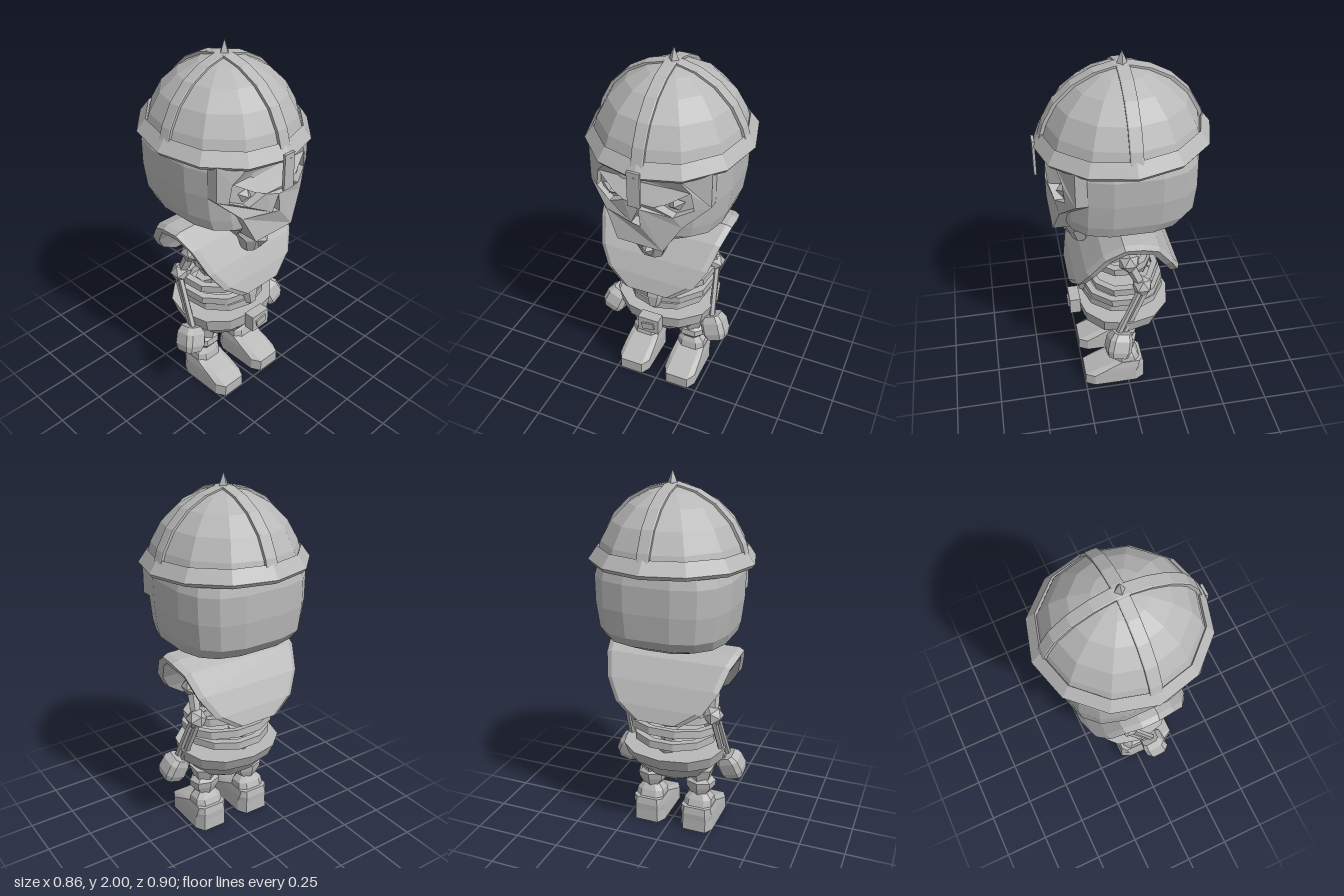
import * as THREE from 'three';

const bone = new THREE.MeshStandardMaterial({ color: 0xb8b8b8, flatShading: true, side: THREE.DoubleSide });
bone.name = 'plain grey';

const V = (x, y, z) => new THREE.Vector3(x, y, z);

function add(parent, name, geometry, pos = [0, 0, 0], rot = [0, 0, 0], scale = [1, 1, 1]) {
  const m = new THREE.Mesh(geometry, bone);
  m.name = name;
  m.position.set(...pos);
  m.rotation.set(...rot);
  m.scale.set(...scale);
  parent.add(m);
  return m;
}

// Skin closed cross-sections into a capped solid
function loft(rings) {
  const n = rings[0].length, p = [], idx = [];
  rings.forEach(r => r.forEach(v => p.push(v.x, v.y, v.z)));
  for (let i = 0; i < rings.length - 1; i++)
    for (let j = 0; j < n; j++) {
      const a = i * n + j, b = i * n + (j + 1) % n;
      idx.push(a, b, b + n, a, b + n, a + n);
    }
  const last = (rings.length - 1) * n;
  for (let j = 1; j < n - 1; j++) idx.push(0, j + 1, j, last, last + j, last + j + 1);
  const g = new THREE.BufferGeometry();
  g.setAttribute('position', new THREE.Float32BufferAttribute(p, 3));
  g.setIndex(idx);
  g.computeVertexNormals();
  return g;
}

// Rows of [y, half width, front z, back z] become rounded-box rings
function stack(rows, n = 8, power = 3, turn = 0.5) {
  return loft(rows.map(([y, rx, zf, zb]) => Array.from({ length: n }, (_, i) => {
    const a = (i + turn) / n * Math.PI * 2, s = Math.sin(a), c = Math.cos(a), e = 2 / power;
    return V(Math.sign(s) * Math.abs(s) ** e * rx, y,
      (zf + zb) / 2 + Math.sign(c) * Math.abs(c) ** e * (zf - zb) / 2);
  })));
}

// Thick sheet bent along a path of [z, y, half width], with bevelled long edges
function sheet(path, thick, bevel) {
  return loft(path.map(([z, y, w], i) => {
    const a = path[Math.max(0, i - 1)], b = path[Math.min(path.length - 1, i + 1)];
    const l = Math.hypot(b[0] - a[0], b[1] - a[1]);
    const nz = (b[1] - a[1]) / l, ny = -(b[0] - a[0]) / l;
    const at = (x, d) => V(x, y + ny * d, z + nz * d);
    return [at(-w, -bevel), at(-w + bevel * 2, 0), at(w - bevel * 2, 0), at(w, -bevel),
      at(w - bevel, -thick), at(-w + bevel, -thick)];
  }));
}

// Flat band running round the body
function band(rx, rz, h, thick, sides = 10) {
  const pts = [[1, -1], [1, 1], [0, 1], [0, -1], [1, -1]]
    .map(([o, y]) => new THREE.Vector2(rx - (1 - o) * thick, y * h / 2));
  return new THREE.LatheGeometry(pts, sides).scale(1, 1, rz / rx);
}

// Tapered bone between two points
function limb(parent, name, from, to, r1, r2, sides = 5) {
  const a = V(...from), b = V(...to), d = b.clone().sub(a);
  const m = add(parent, name, new THREE.CylinderGeometry(r2, r1, d.length(), sides));
  m.position.copy(a).addScaledVector(d, 0.5);
  m.quaternion.setFromUnitVectors(V(0, 1, 0), d.normalize());
}

const poly = pts => pts.map(p => new THREE.Vector2(...p));

function buildHead() {
  const g = new THREE.Group();
  g.name = 'head';
  add(g, 'skull', stack([[1.11, 0.2, 0.3, -0.2], [1.165, 0.325, 0.33, -0.31], [1.225, 0.345, 0.335, -0.36],
    [1.36, 0.362, 0.335, -0.372], [1.5, 0.365, 0.335, -0.37], [1.62, 0.33, 0.32, -0.34]], 16, 3));

  // Face plate with angry sockets and a nose hole, curved back at the sides
  const face = new THREE.Shape(poly([[-0.32, 1.55], [-0.32, 1.36], [-0.21, 1.25], [-0.14, 1.1], [0.11, 1.1],
    [0.2, 1.25], [0.32, 1.36], [0.32, 1.55], [0.16, 1.55], [-0.16, 1.55]]));
  const socket = [[0.07, 1.36], [0.13, 1.385], [0.235, 1.45], [0.25, 1.35], [0.16, 1.31]];
  face.holes.push(new THREE.Path(poly(socket)),
    new THREE.Path(poly(socket.map(([x, y]) => [-x - 0.02, y]))),
    new THREE.Path(poly([[-0.05, 1.24], [-0.01, 1.33], [0, 1.23]])));
  const plate = new THREE.ExtrudeGeometry(face, { depth: 0.1, bevelEnabled: false });
  const p = plate.attributes.position;
  for (let i = 0; i < p.count; i++) p.setZ(i, p.getZ(i) - 1.1 * p.getX(i) ** 2);
  plate.computeVertexNormals();
  add(g, 'face', plate, [0, 0, 0.293]);
  for (const s of [-1, 1])
    add(g, 'eye', new THREE.OctahedronGeometry(0.045), [s * 0.17 - 0.01, 1.365, 0.325], [0, 0, s * 0.5], [1.2, 0.8, 0.7]);
  add(g, 'jaw', stack([[0.945, 0.06, 0.27, 0.18], [1.03, 0.095, 0.305, 0.17], [1.09, 0.14, 0.29, 0.12],
    [1.14, 0.15, 0.36, 0.08]], 8, 2.6), [-0.015, 0, 0]);
  add(g, 'chin', new THREE.OctahedronGeometry(0.06), [-0.01, 1.02, 0.275], [0, 0, 0], [1, 1.1, 0.9]);
  return g;
}

function buildHelmet() {
  const g = new THREE.Group();
  g.name = 'helmet';
  const dome = [[1.56, 0.395, 0.41], [1.66, 0.365, 0.38], [1.76, 0.31, 0.325], [1.845, 0.225, 0.235],
    [1.9, 0.125, 0.13], [1.925, 0.03, 0.03]];
  add(g, 'dome', stack(dome.map(([y, rx, rz]) => [y, rx, rz, -rz]), 12, 2, 0));
  const brim = poly([[0.35, -0.025], [0.415, -0.015], [0.43, 0.005], [0.385, 0.07], [0.35, -0.025]]);
  add(g, 'brim', new THREE.LatheGeometry(brim, 12), [0, 1.556, 0], [0.04, 0, 0], [1, 1, 1.045]);

  // Crossed ridges over the dome
  const arch = (k, lift) => {
    const half = dome.map(d => [d[k] + lift, d[0] + lift, 0.032]);
    return [...half, ...half.slice().reverse().map(([z, y, w]) => [-z, y, w])];
  };
  add(g, 'lengthRidge', sheet(arch(2, 0.01), 0.035, 0.003));
  add(g, 'crossRidge', sheet(arch(1, 0.008), 0.035, 0.003), [0, 0, 0], [0, Math.PI / 2, 0]);
  for (const s of [-1, 1])
    add(g, 'ridgeEnd', new THREE.ConeGeometry(0.03, 0.08, 4), [s * 0.39, 1.575, 0], [0, 0, -s * 1.9]);
  add(g, 'noseGuard', new THREE.BoxGeometry(0.066, 0.19, 0.014), [-0.005, 1.475, 0.44]);
  add(g, 'spike', new THREE.ConeGeometry(0.034, 0.085, 4), [0.005, 1.9575, 0]);
  return g;
}

function buildBody() {
  const g = new THREE.Group();
  g.name = 'body';
  g.position.x = -0.015;

  // Shoulder cape draped front and back
  add(g, 'cape', sheet([[0.312, 0.73, 0.14], [0.285, 0.81, 0.245], [0.235, 0.91, 0.305], [0.15, 1.03, 0.34],
    [0.05, 1.1, 0.365], [-0.05, 1.095, 0.365], [-0.14, 1.055, 0.345], [-0.22, 0.94, 0.31],
    [-0.275, 0.83, 0.24], [-0.3, 0.755, 0.13]], 0.052, 0.015));

  // Spine and neck
  for (let i = 0; i < 8; i++)
    add(g, 'vertebra', new THREE.CylinderGeometry(0.06, 0.04, 0.05, 6), [0, 0.53 + i * 0.075, -0.13 + i * 0.014], [0, i, 0.1]);

  // Rib cage
  for (const [y, rx, rz, tilt] of [[0.785, 0.18, 0.16, 0.1], [0.705, 0.255, 0.2, 0.12], [0.635, 0.26, 0.225, 0.1], [0.575, 0.235, 0.23, 0.03]])
    add(g, 'rib', band(rx, rz, 0.042, 0.04, 11), [0, y, 0], [tilt, 0, 0]);
  add(g, 'breastbone', stack([[0.57, 0.03, 0.25, 0.19], [0.64, 0.05, 0.25, 0.18], [0.72, 0.055, 0.22, 0.15],
    [0.81, 0.03, 0.19, 0.13]], 6, 2.5));

  // Hips, belt and buckle
  add(g, 'hips', stack([[0.31, 0.1, 0.09, -0.09], [0.355, 0.19, 0.18, -0.15], [0.44, 0.255, 0.245, -0.215],
    [0.5, 0.25, 0.24, -0.22]], 10, 2.2));
  add(g, 'belt', stack([[0.44, 0.272, 0.25, -0.225], [0.515, 0.29, 0.262, -0.262]], 12, 2.2, 0));
  add(g, 'buckle', new THREE.BoxGeometry(0.12, 0.095, 0.06), [0, 0.478, 0.275]);
  add(g, 'bucklePin', new THREE.BoxGeometry(0.07, 0.04, 0.014), [0, 0.478, 0.307], [0, 0, 0.2]);

  for (const s of [-1, 1]) {
    // Arm and fist
    const arm = new THREE.Group();
    arm.name = s > 0 ? 'leftArm' : 'rightArm';
    g.add(arm);
    limb(arm, 'collarBone', [s * 0.03, 0.9, -0.03], [s * 0.2, 0.9, 0], 0.025, 0.03);
    add(arm, 'shoulder', new THREE.IcosahedronGeometry(0.06), [s * 0.22, 0.895, 0]);
    limb(arm, 'upperArm', [s * 0.22, 0.89, 0], [s * 0.24, 0.73, -0.07], 0.032, 0.026);
    add(arm, 'elbow', new THREE.IcosahedronGeometry(0.058), [s * 0.24, 0.735, -0.07]);
    limb(arm, 'innerForearm', [s * 0.25, 0.71, -0.09], [s * 0.27, 0.44, 0.03], 0.018, 0.018);
    limb(arm, 'outerForearm', [s * 0.26, 0.71, -0.05], [s * 0.285, 0.44, 0.07], 0.016, 0.018);
    add(arm, 'fist', stack([[-0.07, 0.055, 0.06, -0.055], [-0.03, 0.07, 0.075, -0.065], [0.035, 0.068, 0.072, -0.062],
      [0.07, 0.045, 0.05, -0.05]], 8, 4), [s * 0.305, 0.387, 0.065], [-0.25, 0, s * 0.35]);

    // Leg and boot
    const leg = new THREE.Group();
    leg.name = s > 0 ? 'leftLeg' : 'rightLeg';
    leg.position.x = s * 0.145;
    g.add(leg);
    limb(leg, 'thigh', [0, 0.26, 0.015], [0, 0.37, 0.01], 0.05, 0.085, 6);
    add(leg, 'knee', stack([[0.205, 0.05, 0.05, -0.04], [0.25, 0.085, 0.085, -0.055], [0.285, 0.088, 0.08, -0.06],
      [0.31, 0.055, 0.05, -0.04]], 7, 2.2));
    add(leg, 'ankle', stack([[0.12, 0.09, 0.08, -0.085], [0.18, 0.082, 0.065, -0.06], [0.215, 0.05, 0.045, -0.035]], 8, 3));
    add(leg, 'boot', stack([[0, 0.098, 0.255, -0.102], [0.07, 0.097, 0.255, -0.1], [0.105, 0.095, 0.17, -0.1],
      [0.145, 0.088, 0.06, -0.09]], 8, 5));
  }
  return g;
}

export function createModel() {
  const model = new THREE.Group();
  model.name = 'armouredSkeleton';
  model.add(buildHead(), buildHelmet(), buildBody());
  return model;
}
